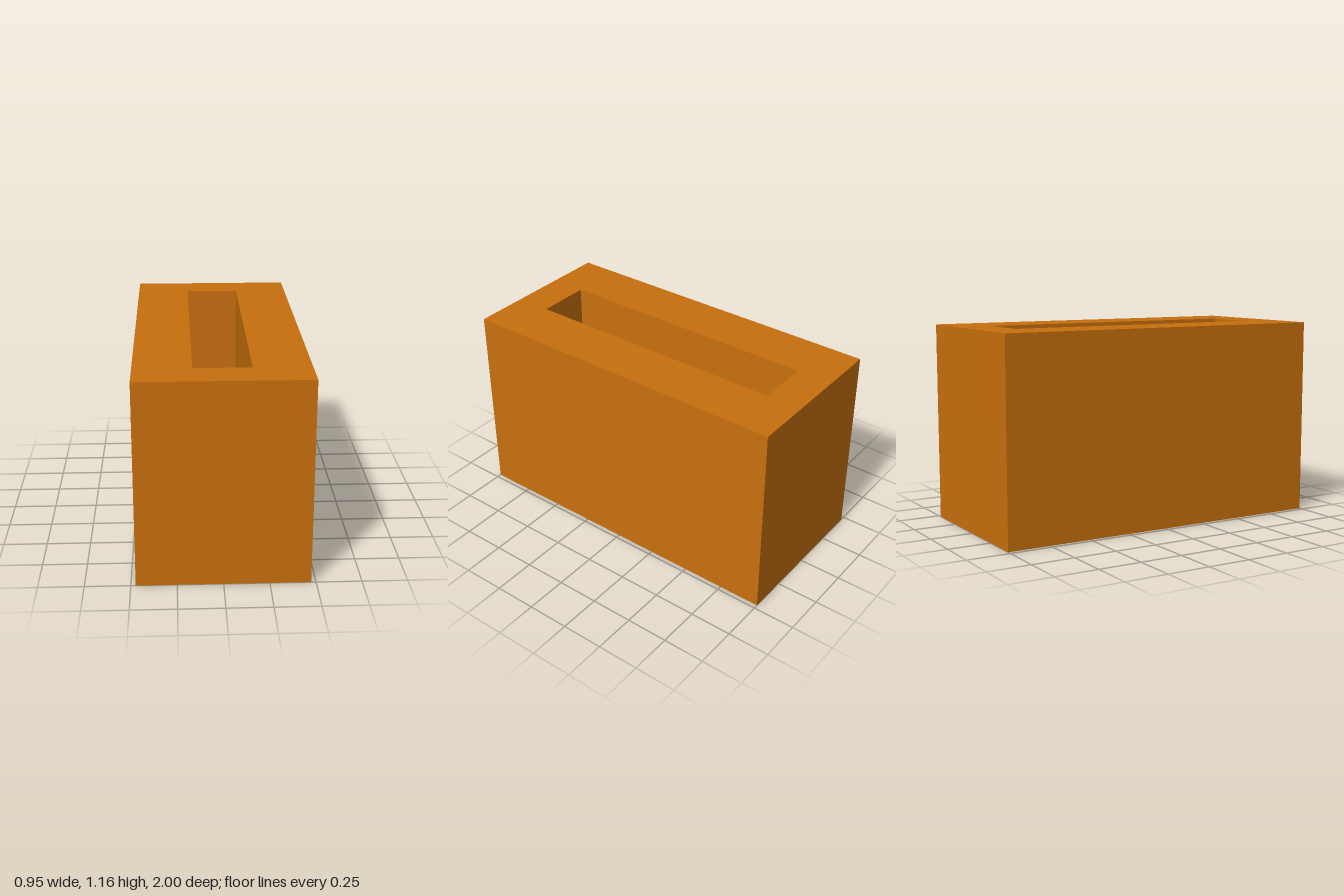
import * as THREE from 'three';

const U = 2 / 19; // the design sits on a grid of 19 units along z
const material = new THREE.MeshStandardMaterial({ color: 0xc8700d, flatShading: true });

// Rectangle outline centred on the origin
function rectangle(Type, width, length) {
  const w = width / 2, l = length / 2;
  return new Type([
    new THREE.Vector2(-w, -l), new THREE.Vector2(w, -l),
    new THREE.Vector2(w, l), new THREE.Vector2(-w, l),
  ]);
}

// Box given by its min and max corners in grid units
function block(name, [x0, y0, z0], [x1, y1, z1]) {
  const geometry = new THREE.BoxGeometry((x1 - x0) * U, (y1 - y0) * U, (z1 - z0) * U);
  geometry.translate((x0 + x1) / 2 * U, (y0 + y1) / 2 * U, (z0 + z1) / 2 * U);
  const mesh = new THREE.Mesh(geometry, material);
  mesh.name = name;
  return mesh;
}

export function createModel() {
  const group = new THREE.Group();
  group.name = 'slottedBlock';

  // Thick-walled block with a slot running right through it
  const outline = rectangle(THREE.Shape, 9 * U, 19 * U);
  outline.holes.push(rectangle(THREE.Path, 3 * U, 15 * U));
  const geometry = new THREE.ExtrudeGeometry(outline, { depth: 11 * U, bevelEnabled: false });
  geometry.rotateX(-Math.PI / 2);
  const body = new THREE.Mesh(geometry, material);
  body.name = 'body';
  group.add(body);

  // Ledge and longer stop projecting from the left inner wall
  group.add(block('innerLedge', [0.5, 1, -2], [1.5, 5, 2]));
  group.add(block('innerStop', [-0.5, 1, 2], [1.5, 5, 3]));

  return group;
}
